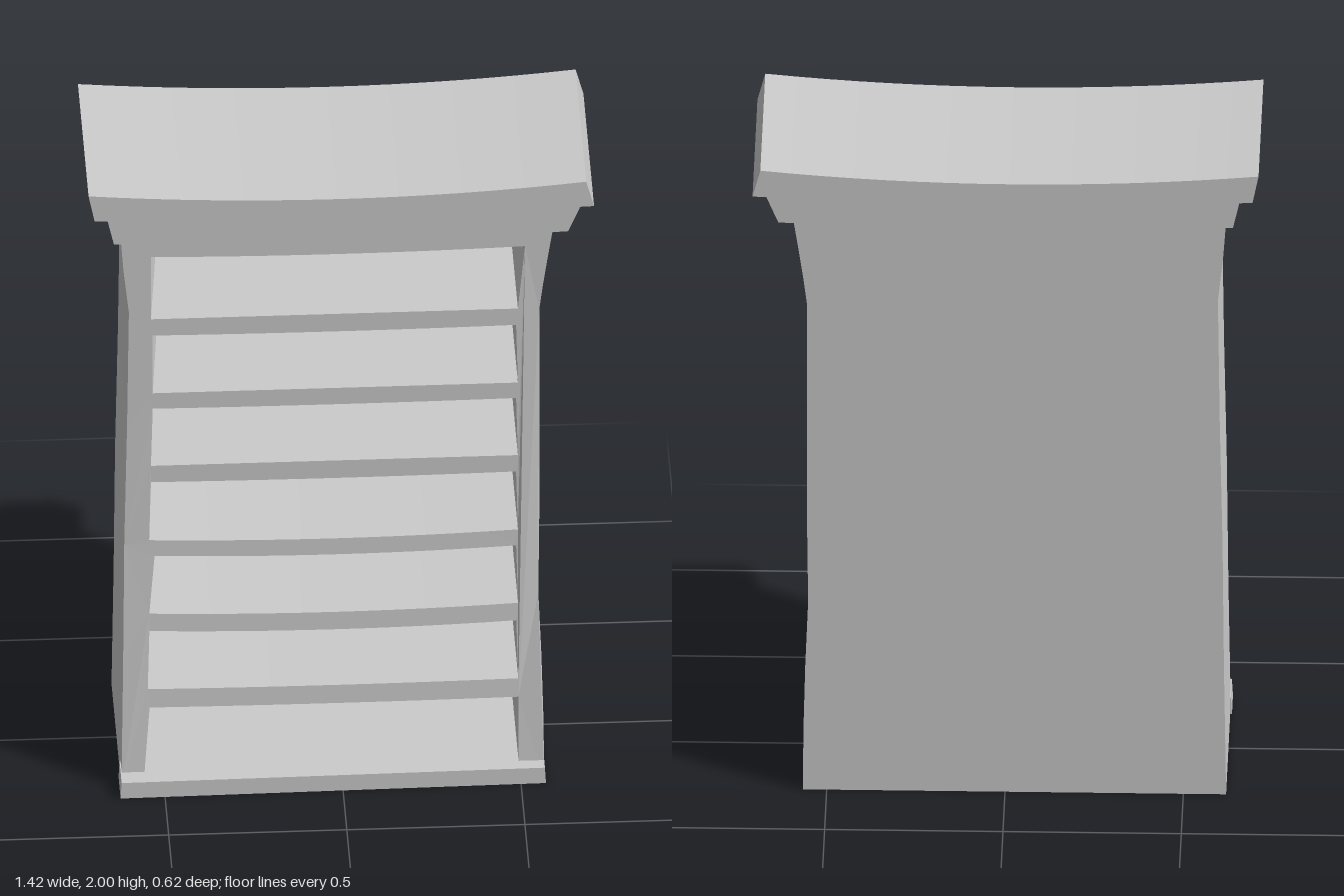
import * as THREE from 'three';

const material = new THREE.MeshStandardMaterial({ color: 0xcccccc, flatShading: true });
const v = (x, y) => new THREE.Vector2(x, y);

// Quad whose lower and upper edges sag in the middle.
// Corners run bottom left, bottom right, top right, top left.
function saggedQuad([bl, br, tr, tl], sagBottom, sagTop, steps = 12) {
  const edge = (a, b, sag) => {
    const n = sag ? steps : 1;
    return Array.from({ length: n + 1 }, (_, i) => {
      const t = i / n;
      return v(a[0] + (b[0] - a[0]) * t, a[1] + (b[1] - a[1]) * t - sag * 4 * t * (1 - t));
    });
  };
  return [...edge(bl, br, sagBottom), ...edge(tr, tl, sagTop)];
}

// Extrude a shape between two z values; warp(x, y, isFront) may return a new [x, z].
function slab(name, shape, zBack, zFront, warp) {
  const g = new THREE.ExtrudeGeometry(shape, { depth: 1, bevelEnabled: false });
  const p = g.attributes.position;
  for (let i = 0; i < p.count; i++) {
    const front = p.getZ(i) > 0.5;
    const x = p.getX(i), y = p.getY(i);
    const [nx, nz] = warp ? warp(x, y, front) : [x, front ? zFront : zBack];
    p.setXYZ(i, nx, y, nz);
  }
  g.computeVertexNormals();
  const mesh = new THREE.Mesh(g, material);
  mesh.name = name;
  return mesh;
}

// Flared silhouette of the case
const outline = [
  [-0.62, 0], [0.567, 0], [0.565, 0.2], [0.56, 0.4], [0.552, 0.6], [0.555, 0.85], [0.555, 1.2],
  [0.555, 1.55], [0.565, 1.63], [0.578, 1.72], [0.595, 1.83],
  [-0.62, 1.83], [-0.612, 1.72], [-0.597, 1.58], [-0.602, 1.2], [-0.61, 0.8], [-0.614, 0.4],
].map(([x, y]) => v(x, y));

// Compartments: bottom, top, left x at bottom and top, right x at top,
// narrowing of the left wall toward the back, sag of bottom and top edges
const compartments = [
  [0.05, 0.26, -0.555, -0.54, 0.495, 0.015, 0, 0.003],
  [0.32, 0.51, -0.545, -0.54, 0.49, 0.015, 0.004, 0.012],
  [0.567, 0.757, -0.54, -0.525, 0.49, 0.022, 0.012, 0.012],
  [0.81, 1.005, -0.54, -0.535, 0.49, 0.012, 0.012, 0.004],
  [1.06, 1.253, -0.535, -0.53, 0.49, 0.015, 0, 0.003],
  [1.305, 1.5, -0.53, -0.53, 0.49, 0.04, 0, 0.004],
  [1.555, 1.765, -0.535, -0.535, 0.515, 0.042, 0, 0.008],
];

// Front surface leans forward toward the floor
const frontZ = (y) => 0.22 + 0.04 * Math.pow(Math.max(0, 1 - y / 0.9), 1.5);

export function createModel() {
  const model = new THREE.Group();
  model.name = 'bookcase';

  // Case with shelves
  const caseShape = new THREE.Shape(outline);
  for (const [y0, y1, xl0, xl1, xr1, , sag0, sag1] of compartments) {
    const pts = saggedQuad([[xl0, y0], [0.495, y0], [xr1, y1], [xl1, y1]], sag0, sag1);
    caseShape.holes.push(new THREE.Path(pts));
  }
  model.add(slab('caseAndShelves', caseShape, 0, 0, (x, y, front) => {
    if (front) return [x, frontZ(y)];
    const row = compartments.find((c) => y > c[0] - 0.02 && y < c[1] + 0.02);
    const isLeftWall = row && x > -0.56 && x < -0.52;
    return [isLeftWall ? x + row[5] : x, -0.24];
  }));

  // Back panel
  model.add(slab('backPanel', new THREE.Shape(outline), -0.268, -0.24));

  // Plinth lip, slightly deeper on one side
  const plinth = new THREE.Shape(saggedQuad(
    [[-0.625, 0], [0.57, 0], [0.567, 0.052], [-0.622, 0.052]], 0, 0));
  model.add(slab('plinthLip', plinth, 0, 0,
    (x, y, front) => [x, front ? (x < 0 ? 0.31 : 0.295) : 0.2]));

  // Cornice moulding and curved top
  const cornice = new THREE.Shape(saggedQuad(
    [[-0.64, 1.826], [0.635, 1.826], [0.672, 1.915], [-0.66, 1.915]], 0.014, 0.008));
  model.add(slab('cornice', cornice, -0.293, 0.242));

  const top = new THREE.Shape(saggedQuad(
    [[-0.695, 1.915], [0.707, 1.917], [0.685, 2], [-0.712, 2]], 0.01, 0.034, 16));
  model.add(slab('topBoard', top, -0.31, 0.255));

  return model;
}
